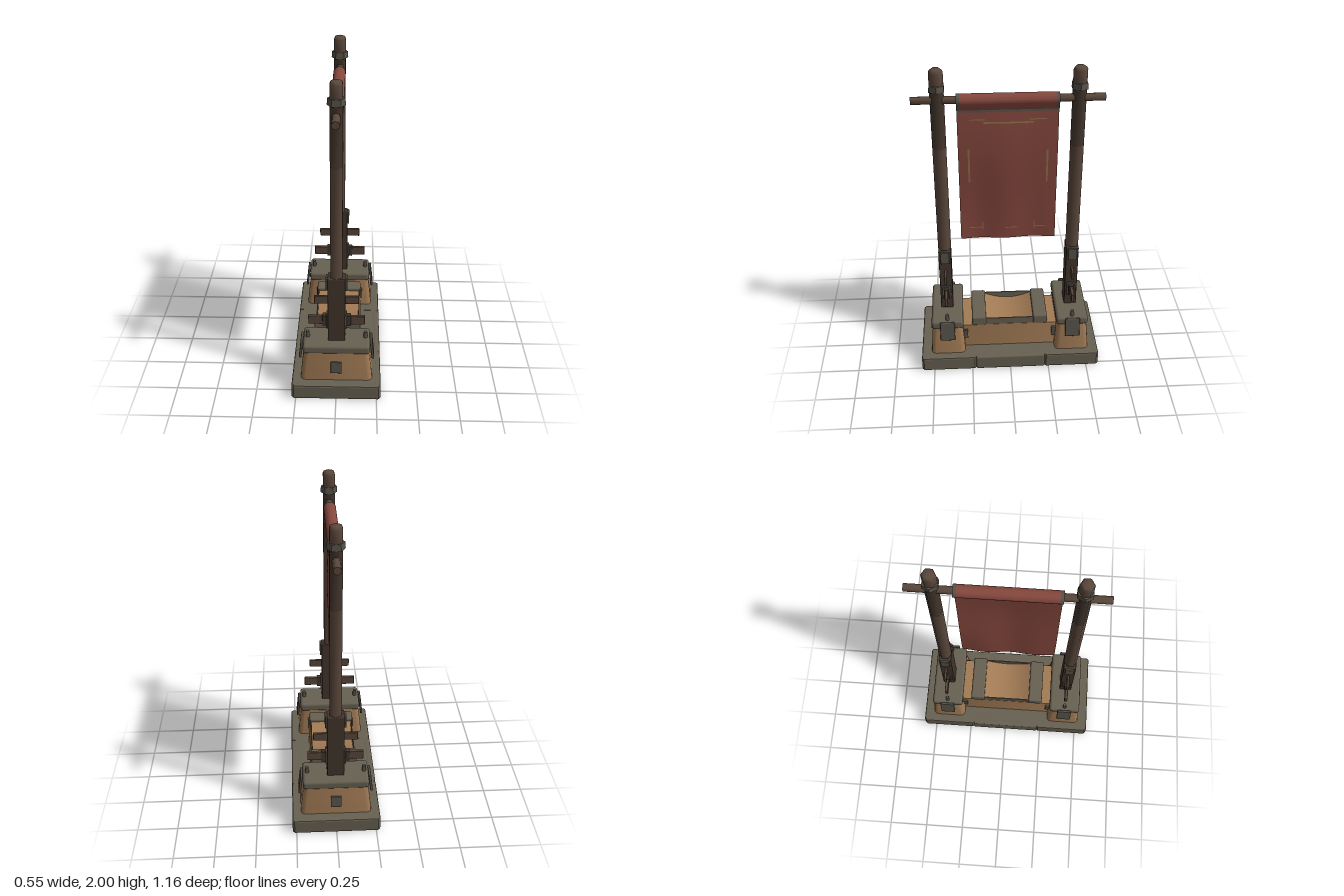
import * as THREE from 'three';
import { toCreasedNormals } from 'three/addons/utils/BufferGeometryUtils.js';
import { RoundedBoxGeometry } from 'three/addons/geometries/RoundedBoxGeometry.js';

const mat = (name, color, side = THREE.FrontSide) => {
  const m = new THREE.MeshStandardMaterial({ color, side });
  m.name = name;
  return m;
};

export function createModel() {
  const root = new THREE.Group();
  root.name = 'bannerStand';
  const stone = mat('grey stone', 0x686152, THREE.DoubleSide);
  const clay = mat('tan clay', 0xa27b55, THREE.DoubleSide);
  const wood = mat('brown wood', 0x5a473b);
  const darkWood = mat('dark wood', 0x43362d);
  const iron = mat('dull iron', 0x57534a);
  const cloth = mat('red cloth', 0x86483e, THREE.DoubleSide);
  const trim = mat('faded gold', 0x94704a, THREE.DoubleSide);

  const add = (parent, name, geo, m, x = 0, y = 0, z = 0) => {
    const mesh = new THREE.Mesh(geo, m);
    mesh.name = name;
    mesh.position.set(x, y, z);
    parent.add(mesh);
    return mesh;
  };
  const rbox = (w, h, d, r = 0.006) => new RoundedBoxGeometry(w, h, d, 2, r);
  const group = (name) => {
    const g = new THREE.Group();
    g.name = name;
    root.add(g);
    return g;
  };

  // Rounded rectangle outline, counter-clockwise
  const outline = (hx, hz, r) => {
    const pts = [];
    [[1, 1], [-1, 1], [-1, -1], [1, -1]].forEach(([sx, sz], q) => {
      for (let k = 0; k <= 3; k++) {
        const a = (q + k / 3) * Math.PI / 2;
        pts.push([sx * (hx - r) + r * Math.cos(a), sz * (hz - r) + r * Math.sin(a)]);
      }
    });
    return pts;
  };

  // Stacked rounded rectangles [y, halfX, halfZ], closed on top and open below
  const loft = (sections, r) => {
    const pos = [], idx = [];
    let n = 0;
    for (const [y, hx, hz] of sections) {
      const ring = outline(hx, hz, r);
      n = ring.length;
      ring.forEach(([x, z]) => pos.push(x, y, -z));
    }
    const last = sections.length - 1;
    for (let j = 0; j < last; j++) {
      for (let i = 0; i < n; i++) {
        const a = j * n + i, b = j * n + (i + 1) % n;
        idx.push(a, b, b + n, a, b + n, a + n);
      }
    }
    pos.push(0, sections[last][0], 0);
    for (let i = 0; i < n; i++) idx.push((last + 1) * n, last * n + i, last * n + (i + 1) % n);
    const g = new THREE.BufferGeometry();
    g.setAttribute('position', new THREE.Float32BufferAttribute(pos, 3));
    g.setIndex(idx);
    return toCreasedNormals(g, 0.7);
  };

  // Hollow stone footing: two U-shaped ends with plates on top, and two side stones
  const half = [[0.235, -0.225], [0.266, -0.225], [0.275, -0.235], [0.275, -0.567], [0.262, -0.58]];
  const mirrored = half.map(([x, y]) => [-x, y]).reverse();
  const u = new THREE.Shape([...half, ...mirrored, [-0.235, -0.54], [0.235, -0.54]]
    .map(([x, y]) => new THREE.Vector2(x, y)));
  const b = 0.01;
  const uGeo = new THREE.ExtrudeGeometry(u, {
    depth: 0.1 - 2 * b, bevelSize: b, bevelThickness: b, bevelOffset: -b, bevelSegments: 2,
  }).rotateX(-Math.PI / 2).translate(0, b, 0);
  const footing = group('footing');
  for (const s of [1, -1]) {
    const end = new THREE.Group();
    end.name = 'footingEnd';
    end.rotation.y = s > 0 ? 0 : Math.PI;
    footing.add(end);
    add(end, 'endRim', uGeo, stone);
    add(end, 'endPlate', new THREE.BoxGeometry(0.53, 0.03, 0.345), stone, 0, 0.0848, 0.3955);
    add(footing, 'sideRim', rbox(0.04, 0.1, 0.45, 0.01), stone, s * 0.255, 0.05, 0);
    add(footing, 'sideLedge', new THREE.BoxGeometry(0.125, 0.029, 0.446), stone, s * 0.2025, 0.0845, 0);
  }

  // Low wall between the pedestals with a hollowed top
  const wall = group('middleWall');
  add(wall, 'wallBody', loft([[0.09, 0.152, 0.31], [0.18, 0.148, 0.31], [0.266, 0.141, 0.31]], 0.015), clay);
  const dip = new THREE.PlaneGeometry(0.268, 0.32, 1, 12).rotateX(-Math.PI / 2);
  const dp = dip.attributes.position;
  for (let i = 0; i < dp.count; i++) dp.setY(i, 0.27 + 0.042 * (dp.getZ(i) / 0.16) ** 2);
  dip.computeVertexNormals();
  add(wall, 'hollowTop', dip, clay);
  for (const s of [1, -1]) {
    add(wall, 'topRail', new THREE.BoxGeometry(0.006, 0.05, 0.32), stone, s * 0.136, 0.29, 0);
    add(wall, 'topSlab', rbox(0.292, 0.068, 0.092, 0.012), stone, 0, 0.296, s * 0.2);
    for (const x of [-0.148, 0.148]) {
      add(wall, 'wallBracket', rbox(0.018, 0.07, 0.035, 0.004), iron, x, 0.2, s * 0.292);
    }
  }

  // Pedestals and posts
  for (const s of [1, -1]) {
    const zc = s * 0.405;
    const ped = group('pedestal');
    ped.position.z = zc;
    add(ped, 'pedestalBody', loft([[0.09, 0.222, 0.111], [0.15, 0.217, 0.108],
      [0.23, 0.208, 0.102], [0.3, 0.198, 0.095]], 0.03), clay);
    add(ped, 'pedestalCap', rbox(0.41, 0.06, 0.205, 0.018), stone, 0, 0.32, 0);
    add(ped, 'endBadge', rbox(0.068, 0.08, 0.016, 0.004), iron, 0, 0.195, s * 0.106)
      .rotation.x = -s * 0.09;
    for (const x of [1, -1]) {
      add(ped, 'sideClasp', rbox(0.016, 0.135, 0.095, 0.006), iron, x * 0.219, 0.284, 0)
        .rotation.z = x * 0.11;
      add(ped, 'capPeg', new THREE.CylinderGeometry(0.011, 0.013, 0.045, 8), iron, x * 0.178, 0.368, 0);
    }

    const post = group('post');
    post.position.z = zc;
    const hex = (len) => toCreasedNormals(new THREE.CylinderGeometry(0.041, 0.041, len, 6), 1.2);
    add(post, 'postFoot', rbox(0.106, 0.45, 0.08, 0.006), darkWood, 0, 0.57, 0);
    add(post, 'lowerShaft', hex(0.72), wood, 0, 1.15, 0);
    add(post, 'upperShaft', hex(0.38), darkWood, 0, 1.7, 0);
    add(post, 'collar', toCreasedNormals(
      new THREE.CylinderGeometry(0.048, 0.051, 0.038, 6).rotateY(Math.PI / 6), 0.5), iron, 0, 1.887, 0);
    const knob = [[0.041, 0], [0.041, 0.08], [0.036, 0.093], [0.026, 0.1], [0, 0.1]]
      .map((p) => new THREE.Vector2(...p));
    add(post, 'postTop', toCreasedNormals(new THREE.LatheGeometry(knob, 6), 1.2), wood, 0, 1.9, 0);

    // Wedges driven through the foot, with iron plates around them
    add(post, 'upperWedge', rbox(0.27, 0.054, 0.016, 0.004), wood, 0, 0.627, 0);
    add(post, 'lowerWedge', rbox(0.345, 0.06, 0.02, 0.004), wood, 0, 0.48, 0);
    for (const x of [1, -1]) {
      add(post, 'footPlate', rbox(0.014, 0.085, 0.056, 0.004), iron, x * 0.057, 0.75, 0);
      add(post, 'wedgePlate', rbox(0.014, 0.1, 0.056, 0.004), iron, x * 0.056, 0.478, 0);
      add(post, 'wedgeCollar', rbox(0.03, 0.075, 0.034, 0.004), darkWood, x * 0.072, 0.48, 0);
    }
  }

  // Crossbar
  const banner = group('banner');
  add(banner, 'crossbar', toCreasedNormals(
    new THREE.CylinderGeometry(0.024, 0.024, 1.11, 8).rotateX(Math.PI / 2), 0.8), wood, 0, 1.81, 0);

  // Hanging cloth; patches follow the same gentle folds
  const fold = (y, z) => {
    const drop = (1.79 - y) / 0.92;
    return 0.01 + 0.006 * Math.sin(drop * 6)
      + 0.014 * Math.sin(drop * Math.PI) * Math.cos(z * 5.4)
      + 0.006 * drop * Math.sin(z * 20 + 1.2);
  };

  // Sleeve around the crossbar, narrowing to the cloth below, with bands at its ends
  const sleeve = (name, m, r, len, z) => {
    const shape = new THREE.Shape();
    shape.absarc(0, 1.808, r, -0.35, Math.PI + 0.35, false);
    shape.lineTo(0.008, 1.752);
    shape.lineTo(0.02, 1.752);
    const g = new THREE.ExtrudeGeometry(shape, { depth: len, bevelEnabled: false, curveSegments: 14 });
    add(banner, name, toCreasedNormals(g, 0.7), m, 0, 0, z - len / 2);
  };
  sleeve('sleeve', cloth, 0.037, 0.55, 0.003);
  for (const s of [1, -1]) sleeve('sleeveBand', iron, 0.037, 0.02, 0.003 + s * 0.285);

  const patch = (name, m, z, y, w, h, lift = 0) => {
    const nx = Math.max(1, Math.round(w / 0.03)), ny = Math.max(1, Math.round(h / 0.04));
    const g = new THREE.PlaneGeometry(w, h, nx, ny).rotateY(Math.PI / 2).translate(0, y, z);
    const p = g.attributes.position;
    for (let i = 0; i < p.count; i++) p.setX(i, fold(p.getY(i), p.getZ(i)) + lift);
    g.computeVertexNormals();
    add(banner, name, g, m);
  };
  patch('hangingCloth', cloth, 0.003, 1.328, 0.588, 0.924);
  for (const lift of [0.005, -0.005]) patch('headStripe', iron, 0.003, 1.75, 0.588, 0.024, lift);

  // Worn gold border on the cloth
  patch('topTrim', trim, 0, 1.672, 0.29, 0.01, 0.004);
  patch('topTrimLeft', trim, 0.18, 1.69, 0.09, 0.006, 0.004);
  patch('topTrimRight', trim, -0.17, 1.69, 0.1, 0.006, 0.004);
  patch('sideTrimLeft', trim, 0.235, 1.39, 0.011, 0.23, 0.004);
  patch('sideTrimRight', trim, -0.23, 1.38, 0.011, 0.22, 0.004);
  for (const z of [0.2, -0.02, -0.2]) patch('bottomTrim', trim, z, 0.945, 0.08, 0.006, 0.004);
  for (const z of [0.16, -0.16]) patch('cornerTrim', trim, z, 0.955, 0.006, 0.06, 0.004);

  return root;
}
